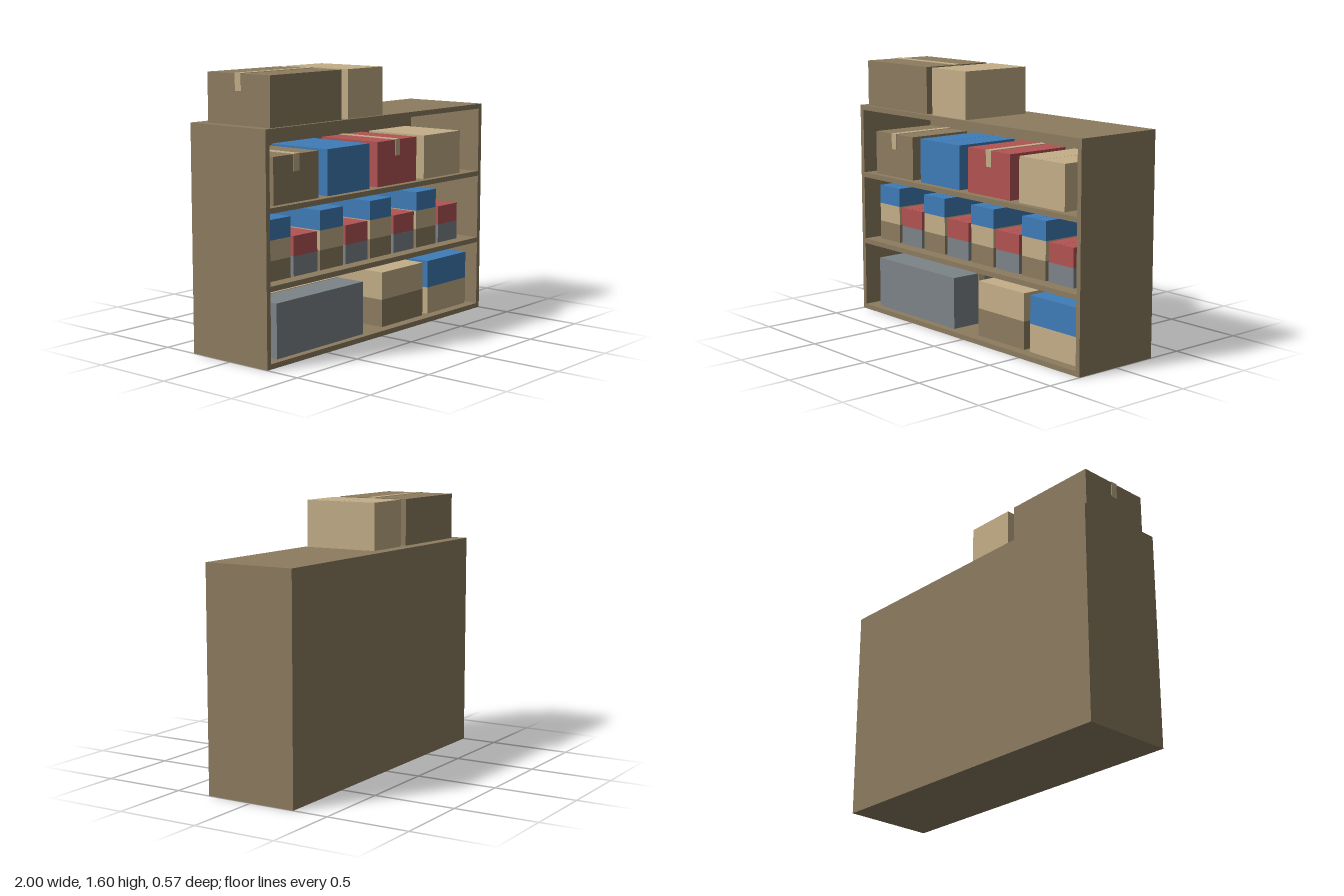
import * as THREE from 'three';

const mat = (name, color) => {
  const m = new THREE.MeshStandardMaterial({ color });
  m.name = name;
  return m;
};

export function createModel() {
  const brown = mat('brown cardboard', 0x8d7c60);
  const tan = mat('tan cardboard', 0xc4af88);
  const blue = mat('blue', 0x3f7cb8);
  const red = mat('red', 0xb35353);
  const grey = mat('grey', 0x7d8488);

  const model = new THREE.Group();
  model.name = 'stockedShelf';

  // Box given by its minimum and maximum corners
  function block(parent, name, material, x0, x1, y0, y1, z0, z1) {
    const mesh = new THREE.Mesh(new THREE.BoxGeometry(x1 - x0, y1 - y0, z1 - z0), material);
    mesh.position.set((x0 + x1) / 2, (y0 + y1) / 2, (z0 + z1) / 2);
    mesh.name = name;
    parent.add(mesh);
  }

  // Carton closed by two flaps that meet along the given axis, with optional tape over the seam
  function carton(name, material, x0, x1, y0, y1, z0, z1, { seam = 'z', tape = false } = {}) {
    const box = new THREE.Group();
    box.name = name;
    model.add(box);
    const flap = 0.004, gap = 0.001, half = 0.0225, out = 0.003, hang = 0.095;
    const xm = (x0 + x1) / 2, zm = (z0 + z1) / 2;
    block(box, 'cartonBody', material, x0, x1, y0, y1 - flap, z0, z1);
    if (seam === 'z') {
      block(box, 'rightFlap', material, x0, xm - gap, y1 - flap, y1, z0, z1);
      block(box, 'leftFlap', material, xm + gap, x1, y1 - flap, y1, z0, z1);
    } else {
      block(box, 'backFlap', material, x0, x1, y1 - flap, y1, z0, zm - gap);
      block(box, 'frontFlap', material, x0, x1, y1 - flap, y1, zm + gap, z1);
    }
    if (!tape) return;
    if (seam === 'z') {
      block(box, 'topTape', tan, xm - half, xm + half, y1, y1 + out, z0 - out, z1 + out);
      block(box, 'frontTape', tan, xm - half, xm + half, y1 - hang, y1, z1, z1 + out);
      block(box, 'backTape', tan, xm - half, xm + half, y1 - hang, y1, z0 - out, z0);
    } else {
      block(box, 'topTape', tan, x0 - out, x1 + out, y1, y1 + out, zm - half, zm + half);
      block(box, 'leftTape', tan, x1, x1 + out, y1 - hang, y1, zm - half, zm + half);
      block(box, 'rightTape', tan, x0 - out, x0, y1 - hang, y1, zm - half, zm + half);
    }
  }

  // Shelf unit
  const H = 1.315, D = 0.283, T = 0.03;
  const shelf = new THREE.Group();
  shelf.name = 'shelfUnit';
  model.add(shelf);
  block(shelf, 'rightPanel', brown, -1, -1 + T, 0, H, -D, D);
  block(shelf, 'leftPanel', brown, 1 - T, 1, 0, H, -D, D);
  block(shelf, 'backPanel', brown, -1 + T, 1 - T, 0, H, -D, -D + T);
  [0, 0.43, 0.858, H - T].forEach((y, i) =>
    block(shelf, 'shelfBoard' + (i + 1), brown, -1 + T, 1 - T, y, y + T, -D + T, D));

  // Cartons on top of the unit
  carton('topLargeCarton', brown, -0.94, -0.35, H, 1.597, -0.205, 0.262, { seam: 'x', tape: true });
  carton('topSmallCarton', tan, -0.295, 0.015, H, 1.597, -0.202, 0.265, { seam: 'x' });

  // Upper shelf: four equal cartons
  [[brown, true], [blue, false], [red, true], [tan, false]].forEach(([m, tape], i) => {
    const x = -0.895 + i * 0.45;
    carton('upperCarton' + (i + 1), m, x, x + 0.373, 0.888, 1.155, -0.19, 0.24, { tape });
  });

  // Middle shelf: alternating stacks of three and two small cartons
  for (let i = 0; i < 8; i++) {
    const x = -0.915 + i * 0.225;
    const stack = i % 2 ? [grey, red] : [brown, tan, blue];
    stack.forEach((m, j) => {
      const y = 0.46 + j * 0.115;
      carton(`smallCarton${i + 1}Level${j + 1}`, m, x, x + 0.2, y, y + 0.115, -0.15, 0.2);
    });
  }

  // Lower shelf: one long carton and two stacked pairs
  carton('longCarton', grey, -0.876, -0.13, T, 0.345, -0.19, 0.24, { seam: 'x', tape: true });
  [[0.075, brown, tan], [0.53, tan, blue]].forEach(([x, lower, upper], i) => {
    carton(`pair${i + 1}Lower`, lower, x, x + 0.403, T, 0.197, -0.17, 0.22, { seam: 'x' });
    carton(`pair${i + 1}Upper`, upper, x, x + 0.403, 0.197, 0.364, -0.17, 0.22, { seam: 'x' });
  });

  return model;
}
